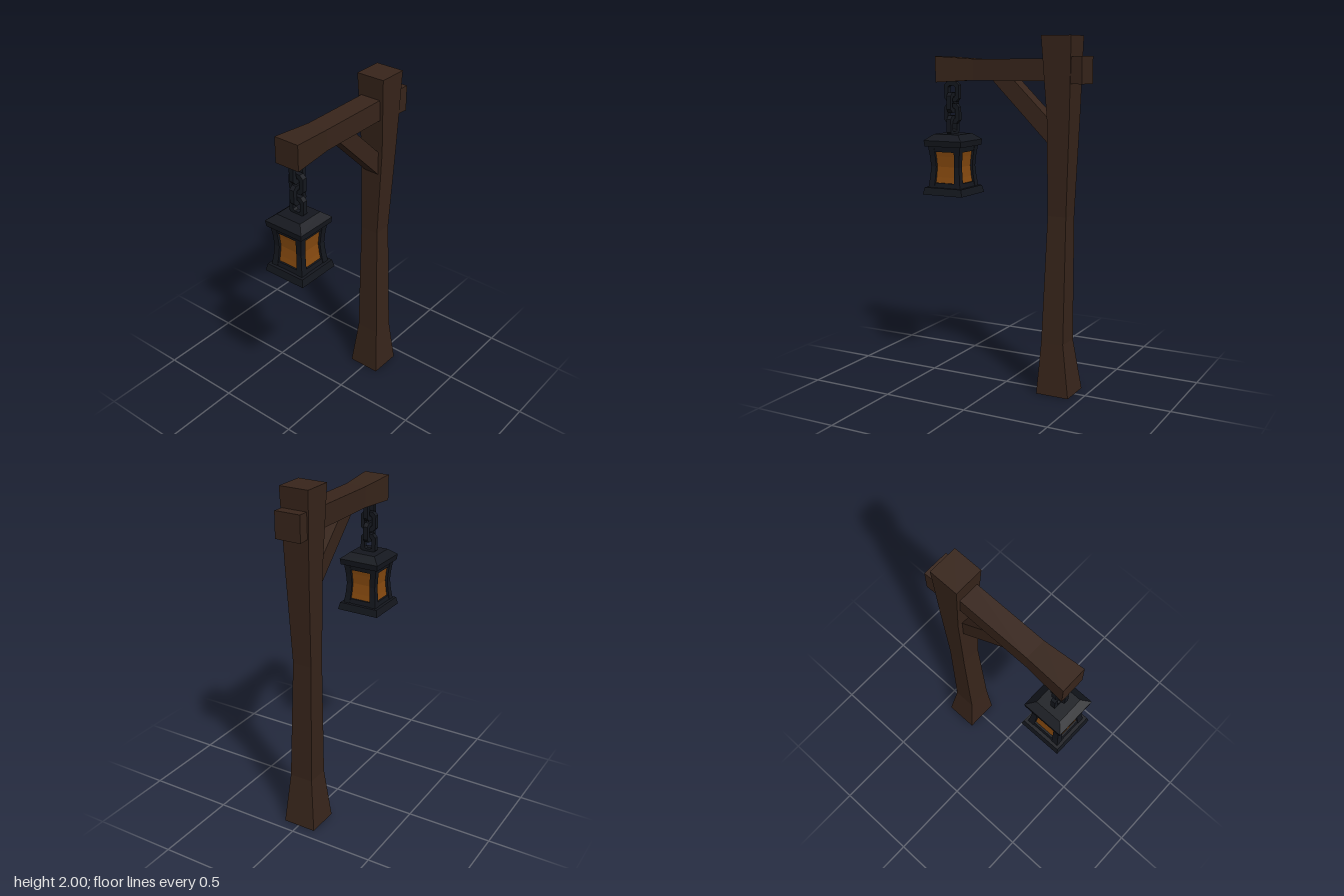
import * as THREE from 'three';

const material = (color) => new THREE.MeshStandardMaterial({ color, flatShading: true });

// Closed four-sided loft; each section is [y, x0, x1, z0, z1], bottom to top.
function loft(sections) {
  const rings = sections.map(([y, x0, x1, z0, z1]) => [[x0, y, z1], [x1, y, z1], [x1, y, z0], [x0, y, z0]]);
  const pos = [];
  const quad = (a, b, c, d) => pos.push(...a, ...b, ...c, ...a, ...c, ...d);
  for (let i = 0; i < rings.length - 1; i++) {
    const lo = rings[i], hi = rings[i + 1];
    for (let k = 0; k < 4; k++) {
      const n = (k + 1) % 4;
      quad(lo[k], lo[n], hi[n], hi[k]);
    }
  }
  const [a, b, c, d] = rings[0];
  quad(d, c, b, a);
  quad(...rings[rings.length - 1]);
  const geo = new THREE.BufferGeometry();
  geo.setAttribute('position', new THREE.Float32BufferAttribute(pos, 3));
  geo.computeVertexNormals();
  return geo;
}

// Loft of centred squares from [y, halfWidth] pairs.
const squareLoft = (pairs) => loft(pairs.map(([y, h]) => [y, -h, h, -h, h]));

// Long octagon outline for the chain links.
function octagon(path, w, h, c) {
  const pts = [[w, h - c], [w - c, h], [c - w, h], [-w, h - c], [-w, c - h], [c - w, -h], [w - c, -h], [w, c - h]];
  path.setFromPoints(pts.map(([x, y]) => new THREE.Vector2(x, y)));
  return path;
}

export function createModel() {
  const model = new THREE.Group();
  model.name = 'hangingLanternPost';
  const wood = material(0x38251b), metal = material(0x14171e), amber = material(0x8a4c10);
  const add = (parent, name, geo, mat) => {
    const mesh = new THREE.Mesh(geo, mat);
    mesh.name = name;
    parent.add(mesh);
    return mesh;
  };

  // Upright post: flared foot, slim waist, wide head
  add(model, 'post', loft([
    [0, -0.103, 0.095, -0.435, -0.24],
    [0.3, -0.065, 0.075, -0.393, -0.26],
    [1.02, -0.07, 0.045, -0.39, -0.28],
    [1.56, -0.08, 0.066, -0.413, -0.28],
    [2, -0.09, 0.082, -0.425, -0.25],
  ]), wood);

  // Cross beam, lofted along z with swollen ends
  const beam = loft([
    [-0.485, -0.08, 0.072, -1.89, -1.743],
    [-0.4, -0.077, 0.068, -1.888, -1.746],
    [-0.3, -0.067, 0.056, -1.877, -1.757],
    [0.18, -0.067, 0.056, -1.875, -1.757],
    [0.422, -0.08, 0.072, -1.89, -1.743],
  ]);
  add(model, 'crossBeam', beam.rotateX(Math.PI / 2), wood);

  // Diagonal brace, tucked into the beam and post
  const outline = [[0.085, 1.775], [-0.05, 1.775], [-0.3, 1.533], [-0.3, 1.395]];
  const braceShape = new THREE.Shape(outline.map(([z, y]) => new THREE.Vector2(z, y)));
  const brace = new THREE.ExtrudeGeometry(braceShape, { depth: 0.09, bevelEnabled: false });
  add(model, 'brace', brace.rotateY(-Math.PI / 2).translate(0.04, 0, 0), wood);

  const lantern = new THREE.Group();
  lantern.name = 'lantern';
  lantern.position.z = 0.351;
  model.add(lantern);

  // Chain of alternating links
  const linkShape = octagon(new THREE.Shape(), 0.048, 0.058, 0.02);
  linkShape.holes.push(octagon(new THREE.Path(), 0.024, 0.034, 0.01));
  const linkGeo = new THREE.ExtrudeGeometry(linkShape, { depth: 0.028, bevelEnabled: false }).translate(0, 0, -0.014);
  [1.69, 1.627, 1.564, 1.495].forEach((y, i) => {
    const link = add(lantern, 'chainLink' + (i + 1), linkGeo, metal);
    link.position.y = y;
    link.rotation.y = i % 2 ? 0 : Math.PI / 2;
  });

  // Base, rails and roof
  add(lantern, 'base', squareLoft([[1.098, 0.131], [1.14, 0.122]]), metal);
  add(lantern, 'lowerRail', squareLoft([[1.135, 0.104], [1.167, 0.099]]), metal);
  add(lantern, 'upperRail', squareLoft([[1.347, 0.099], [1.383, 0.104]]), metal);
  add(lantern, 'roof', squareLoft([[1.378, 0.12], [1.412, 0.124], [1.448, 0.08]]), metal);

  // Concave amber glass set behind the frame
  const curve = [[1.14, 0], [1.2, 0.008], [1.26, 0.013], [1.32, 0.008], [1.38, 0]];
  add(lantern, 'glass', squareLoft(curve.map(([y, d]) => [y, 0.092 - d])), amber);

  // Four bowed corner posts
  const cornerGeo = loft(curve.map(([y, d]) => [y, 0.067 - d * 0.6, 0.106 - d, 0.067 - d * 0.6, 0.106 - d]));
  for (let i = 0; i < 4; i++) {
    add(lantern, 'cornerPost' + (i + 1), cornerGeo, metal).rotation.y = i * Math.PI / 2;
  }

  return model;
}
